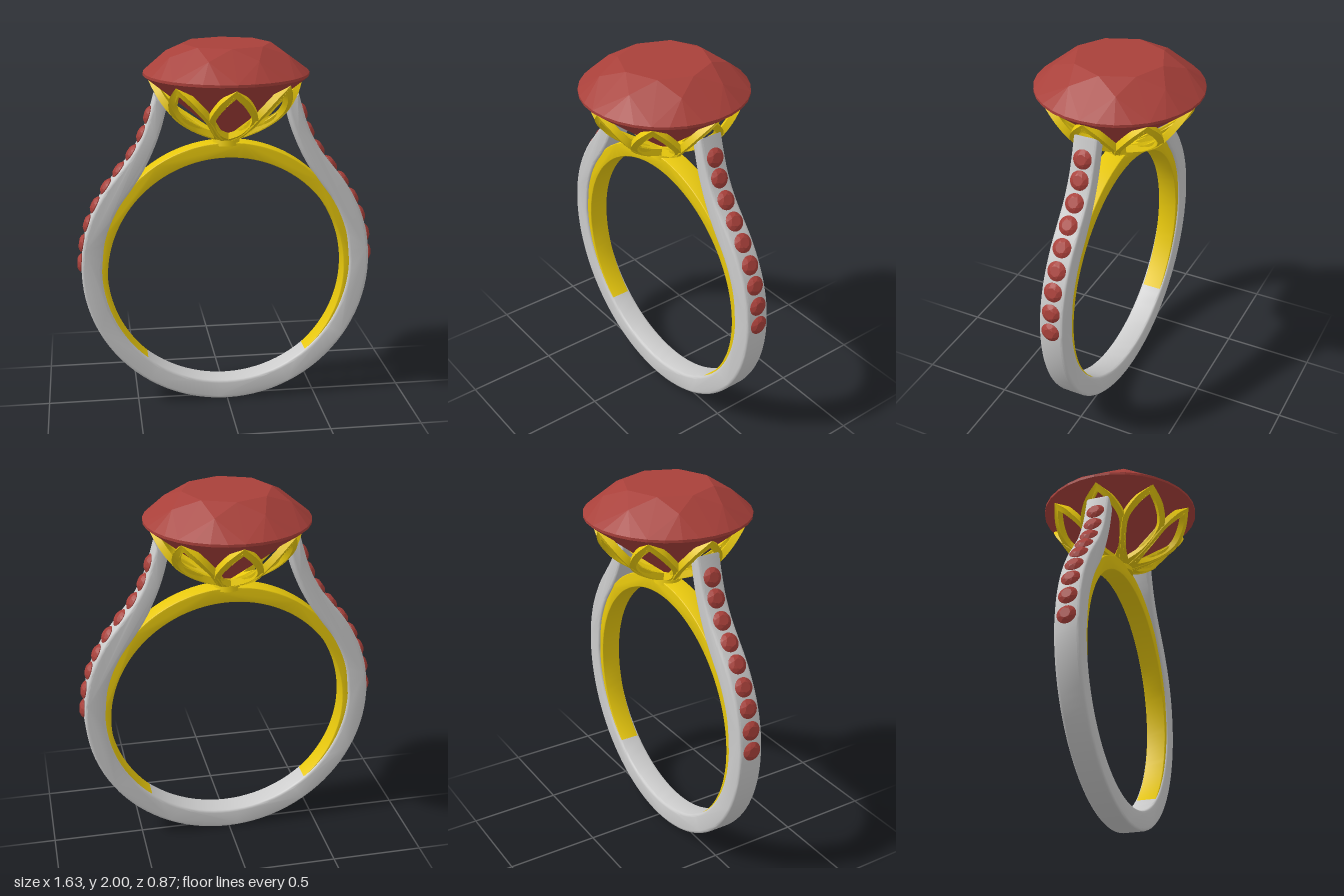
import * as THREE from 'three';
import { toCreasedNormals } from 'three/addons/utils/BufferGeometryUtils.js';
import { ConvexGeometry } from 'three/addons/geometries/ConvexGeometry.js';

const silver = new THREE.MeshStandardMaterial({ color: 0xcccccc });
const gold = new THREE.MeshStandardMaterial({ color: 0xe8c80c });
const ruby = new THREE.MeshStandardMaterial({ color: 0xa8403a, flatShading: true });

const V2 = (x, y) => new THREE.Vector2(x, y);

function mesh(name, geometry, material, parent) {
  const m = new THREE.Mesh(geometry, material);
  m.name = name;
  parent.add(m);
  return m;
}

// Extrusion centred on z = 0 with rounded edges
function slab(shape, halfDepth, bevel) {
  const g = new THREE.ExtrudeGeometry(shape, {
    depth: 2 * (halfDepth - bevel), curveSegments: 72, bevelEnabled: true,
    bevelSize: bevel, bevelThickness: bevel, bevelOffset: -bevel, bevelSegments: 3,
  });
  g.translate(0, 0, -(halfDepth - bevel));
  return toCreasedNormals(g, 0.6);
}

// Quarter of a circle running from its right side down to its bottom
function quarterArc(r, cy, n = 24) {
  return Array.from({ length: n }, (_, i) => {
    const a = ((i + 1) / n) * Math.PI / 2;
    return V2(r * Math.cos(a), cy - r * Math.sin(a));
  });
}

// Round brilliant cut, girdle radius 0.435, girdle base at y = 0
function brilliantGeometry() {
  const pts = [new THREE.Vector3(0, -0.34, 0)];
  const ring = (n, r, y, offset = 0) => {
    for (let i = 0; i < n; i++) {
      const a = ((i + offset) / n) * Math.PI * 2;
      pts.push(new THREE.Vector3(r * Math.sin(a), y, r * Math.cos(a)));
    }
  };
  ring(8, 0.12, -0.253, 0.5); // pavilion
  ring(32, 0.435, 0);         // girdle
  ring(32, 0.435, 0.014);
  ring(8, 0.33, 0.108, 0.5);  // star points
  ring(8, 0.235, 0.16);       // table
  return new ConvexGeometry(pts);
}

// Pointed open petal, cut flat and then bent along a cup profile
function petalGeometry() {
  const length = 0.48, thickness = 0.035;
  const width = new THREE.SplineCurve([
    V2(0.03, 0), V2(0.085, 0.13), V2(0.125, 0.27), V2(0.085, 0.39), V2(0, length),
  ]).getPoints(28);
  const hole = new THREE.SplineCurve([
    V2(0, 0.05), V2(0.055, 0.135), V2(0.093, 0.27), V2(0.055, 0.37), V2(0, 0.435),
  ]).getPoints(28);
  const loop = (half) => [...half, ...half.map((p) => V2(-p.x, p.y)).reverse()
    .filter((p) => Math.abs(p.x) > 1e-6)];
  const shape = new THREE.Shape(loop(width));
  shape.holes.push(new THREE.Path(loop(hole)));
  const g = new THREE.ExtrudeGeometry(shape, { depth: thickness, bevelEnabled: false });
  const profile = new THREE.QuadraticBezierCurve(V2(0.05, 1.49), V2(0.31, 1.58), V2(0.41, 1.82));
  const pos = g.attributes.position;
  for (let i = 0; i < pos.count; i++) {
    const t = THREE.MathUtils.clamp(pos.getY(i) / length, 0, 1);
    const p = profile.getPoint(t), d = profile.getTangent(t);
    const out = pos.getZ(i) - thickness;
    pos.setXYZ(i, pos.getX(i), p.y - d.x * out, p.x + d.y * out);
  }
  return toCreasedNormals(g, 0.6);
}

export function createModel() {
  const ring = new THREE.Group();
  ring.name = 'ring';

  // Outer edge of a shoulder; its middle points also carry the small stones
  const shoulder = new THREE.SplineCurve([
    V2(0.378, 1.74), V2(0.41, 1.63), V2(0.447, 1.53), V2(0.503, 1.43), V2(0.572, 1.34),
    V2(0.642, 1.25), V2(0.702, 1.15), V2(0.746, 1.05), V2(0.776, 0.94), V2(0.789, 0.83),
    V2(0.79, 0.79),
  ]);
  const inner = new THREE.SplineCurve([
    V2(0.315, 1.69), V2(0.35, 1.56), V2(0.395, 1.444), V2(0.447, 1.34), V2(0.505, 1.25),
    V2(0.577, 1.15), V2(0.628, 1.05), V2(0.663, 0.94), V2(0.68, 0.79),
  ]);

  // Band with its two rising shoulders
  const mirrored = (half) => [...half, ...half.slice(0, -1).reverse().map((p) => V2(-p.x, p.y))];
  const outside = mirrored([...shoulder.getPoints(50), ...quarterArc(0.79, 0.79)]);
  const inside = mirrored([...inner.getPoints(40), ...quarterArc(0.68, 0.79)]);
  mesh('band', slab(new THREE.Shape([...outside, ...inside.reverse()]), 0.067, 0.015), silver, ring);

  // Gold lining, thick at the top and fading into the band at the bottom
  const lining = new THREE.Shape().absarc(0, 0.785, 0.697, 0, Math.PI * 2);
  lining.holes.push(new THREE.Path().absarc(0, 0.75, 0.65, 0, Math.PI * 2));
  mesh('lining', slab(lining, 0.056, 0.004), gold, ring);

  // Petal setting on a small collar
  const setting = new THREE.Group();
  setting.name = 'setting';
  ring.add(setting);
  const petal = petalGeometry();
  for (let i = 0; i < 8; i++) {
    mesh('petal', petal, gold, setting).rotation.y = (i * Math.PI) / 4;
  }
  mesh('collar', new THREE.CylinderGeometry(0.065, 0.075, 0.06, 24), gold, setting)
    .position.y = 1.495;

  // Main stone
  const brilliant = brilliantGeometry();
  mesh('mainStone', brilliant, ruby, ring).position.y = 1.84;

  // Nine small stones down each shoulder, facing outward
  const up = new THREE.Vector3(0, 1, 0);
  for (const side of [1, -1]) {
    const row = new THREE.Group();
    row.name = side > 0 ? 'leftStones' : 'rightStones';
    ring.add(row);
    for (let i = 1; i <= 9; i++) {
      const p = shoulder.getPoint(i / 10), d = shoulder.getTangent(i / 10);
      const normal = new THREE.Vector3(-d.y * side, d.x, 0);
      const stone = mesh('smallStone', brilliant, ruby, row);
      stone.scale.setScalar(0.115);
      stone.quaternion.setFromUnitVectors(up, normal);
      stone.position.set(p.x * side, p.y, 0).addScaledVector(normal, 0.003);
    }
  }
  return ring;
}
